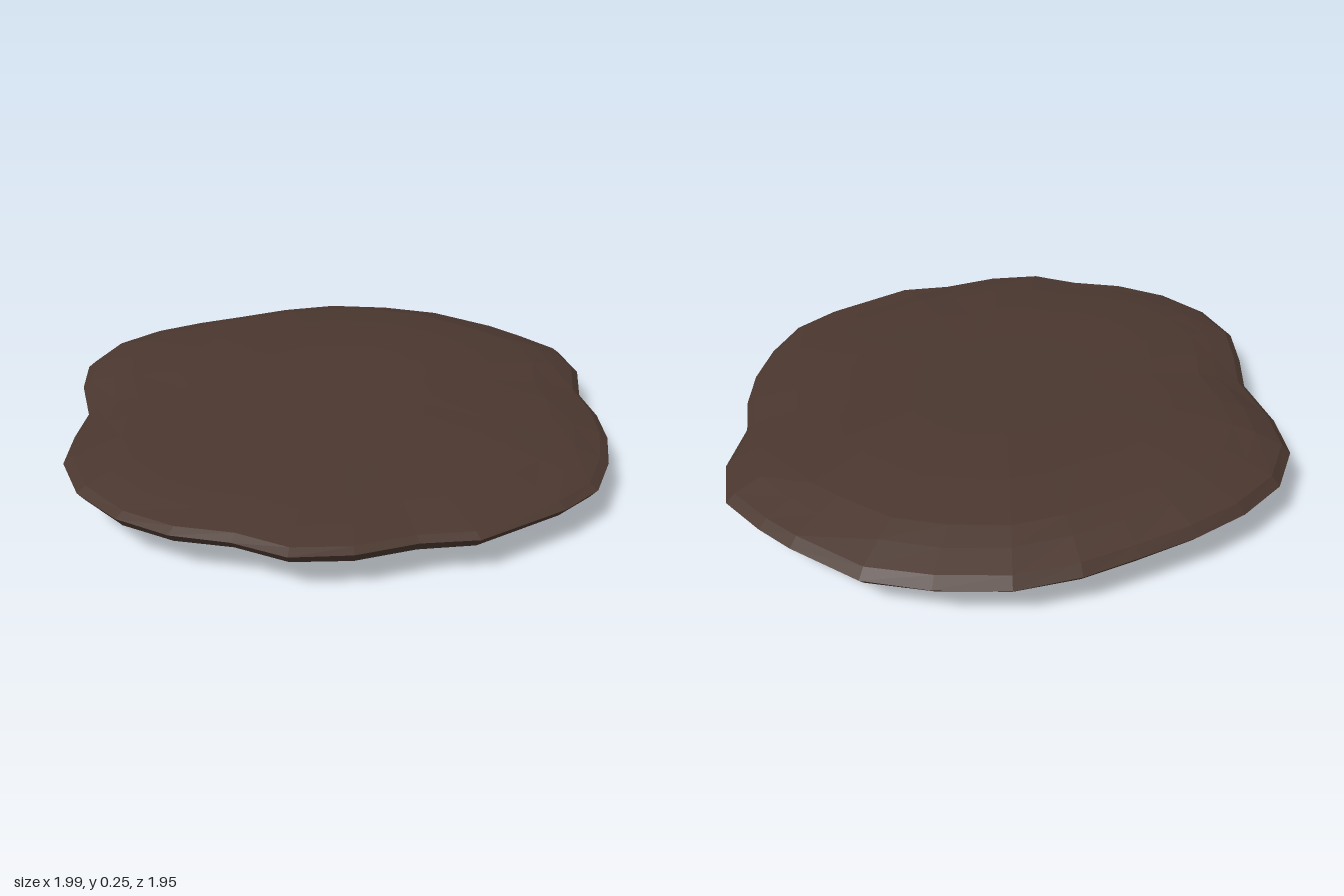
import * as THREE from 'three';

// Irregular rim, as x, z pairs running from the model's left round the front
const RIM = [
  [0.99, 0], [0.99, 0.14], [0.97, 0.32], [0.85, 0.47], [0.67, 0.58], [0.56, 0.71], [0.43, 0.82], [0.27, 0.91],
  [0.09, 0.97], [-0.08, 0.955], [-0.39, 0.86], [-0.52, 0.74], [-0.69, 0.64], [-0.82, 0.51], [-0.87, 0.34],
  [-0.96, 0.18], [-1, 0], [-0.98, -0.2], [-0.89, -0.38], [-0.75, -0.5], [-0.61, -0.6], [-0.48, -0.79],
  [-0.35, -0.92], [-0.17, -0.98], [0.02, -0.965], [0.2, -0.91], [0.38, -0.83], [0.55, -0.75], [0.72, -0.63],
  [0.86, -0.45], [0.96, -0.26],
];

// Rings as [scale of the rim, blend from rim height to plate height]
const UPPER = [[1, 0], [0.97, 0.25], [0.88, 0.5], [0.8, 0.68], [0.6, 0.92], [0.35, 1]];
const LOWER = [[1, 0], [0.975, 0.22], [0.86, 0.48], [0.7, 0.74], [0.5, 0.92], [0.3, 1]];

const rimY = (x, z) => 0.143 - 0.015 * z - 0.008 * x;
const topY = (x, z) => 0.234 + 0.018 * x - 0.045 * z;
const bottomY = (x, z) => 0.012 - 0.025 * z;

// One domed half of the stone, closed by a fan in the middle
function shell(rings, plateY, up) {
  const n = RIM.length;
  const pos = [];
  const index = [];
  const tri = (a, b, c) => (up ? index.push(a, b, c) : index.push(a, c, b));
  rings.forEach(([s, k], r) => RIM.forEach(([rx, rz], i) => {
    // Slight unevenness gives the worn facets
    const wobble = r ? 0.012 * Math.sin(i * 2.1 + r * 1.7) : 0;
    const x = rx * (s + wobble * (1 - s));
    const z = rz * (s + wobble * (1 - s));
    const bump = r ? 0.003 * Math.sin(i * 1.3 + r * 2.4) * (1 - k) : 0;
    pos.push(x, THREE.MathUtils.lerp(rimY(rx, rz), plateY(x, z), k) + bump, z);
  }));
  const centre = rings.length * n;
  pos.push(0, plateY(0, 0), 0);
  for (let r = 0; r < rings.length; r++) {
    for (let i = 0; i < n; i++) {
      const j = (i + 1) % n;
      const a = r * n + i;
      const b = r * n + j;
      if (r === rings.length - 1) {
        tri(b, a, centre);
      } else {
        tri(b, a, a + n);
        tri(b, a + n, b + n);
      }
    }
  }
  const geo = new THREE.BufferGeometry();
  geo.setAttribute('position', new THREE.Float32BufferAttribute(pos, 3));
  geo.setIndex(index);
  geo.computeVertexNormals();
  return geo;
}

export function createModel() {
  const group = new THREE.Group();
  group.name = 'flatStone';
  const brown = new THREE.MeshStandardMaterial({ color: 0x4a372f, flatShading: true });
  brown.name = 'darkBrown';

  const top = new THREE.Mesh(shell(UPPER, topY, true), brown);
  top.name = 'stoneTop';
  const bottom = new THREE.Mesh(shell(LOWER, bottomY, false), brown);
  bottom.name = 'stoneUnderside';
  group.add(top, bottom);

  // Rest the stone on the ground
  group.position.y = -new THREE.Box3().setFromObject(group).min.y;
  return group;
}
